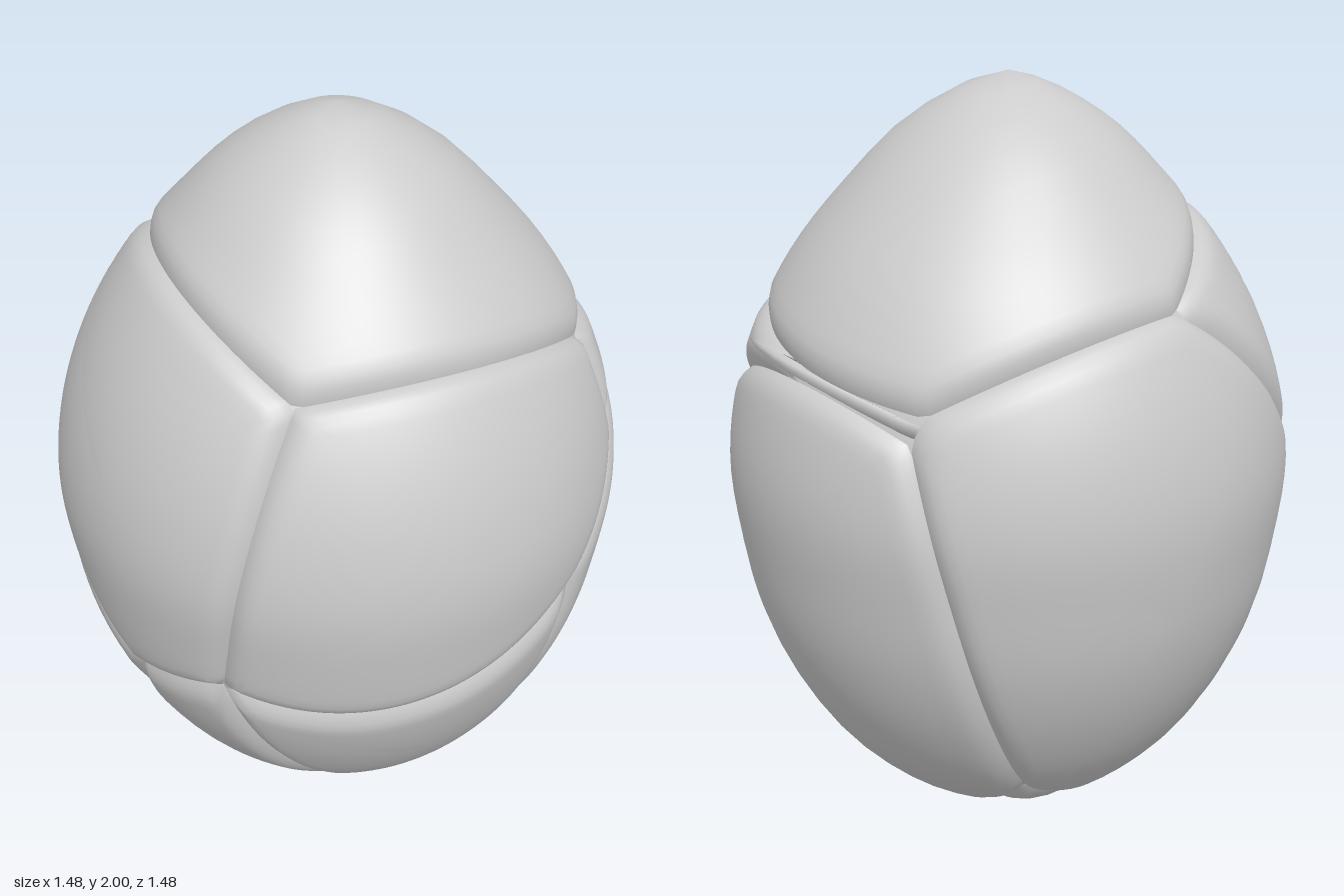
import * as THREE from 'three';

const V = (x, y, z) => new THREE.Vector3(x, y, z);
const CENTRE = V(0, 1, 0);
const GROOVE_DEPTH = 0.028, BEVEL = 0.06;

// Egg profile: distance from the centre at every 15 degrees, top to bottom
const profile = new THREE.SplineCurve(
  [1, 0.925, 0.835, 0.785, 0.755, 0.742, 0.742, 0.748, 0.785, 0.84, 0.91, 0.975, 1]
    .map((r, i) => new THREE.Vector2(i, r)));
const radius = (dir) => profile.getPoint(Math.acos(THREE.MathUtils.clamp(dir.y, -1, 1)) / Math.PI).y;
const onEgg = (dir, drop = 0) => dir.clone().multiplyScalar(radius(dir) - drop).add(CENTRE);
const direction = (p) => p.clone().sub(CENTRE).normalize();

// Corners where the grooves meet
const corners = {
  a: V(0.15, 1.51, 0.56), b: V(0, 0.68, 0.7), c: V(-0.31, 0.58, 0.6), d: V(0.3, 0.085, 0.06),
  g: V(-0.22, 0.15, -0.33), h: V(0.605, 1.42, -0.17), i: V(0.69, 1.14, -0.19), j: V(0.725, 0.86, 0.08),
  k: V(-0.115, 1.29, -0.66), l: V(-0.09, 1.225, -0.69), m: V(-0.56, 1.49, -0.19),
};
for (const key in corners) corners[key] = onEgg(direction(corners[key]));

// One point inside each panel
const panels = {
  topCap: V(0, 2, 0), frontRightPanel: V(-0.3, 1.15, 0.6), frontLeftPanel: V(0.5, 1.1, 0.45),
  backSliver: V(0.55, 1.31, -0.36), rightBackPanel: V(-0.6, 0.75, -0.3), leftBackPanel: V(0.45, 0.7, -0.5),
  bottomPanel: V(-0.1, 0.2, 0.35), lowerLeftPanel: V(0.42, 0.43, 0.36),
};

// Grooves: the two panels they part, the corners they join, and a third point of the cutting plane
const grooves = [
  ['topCap', 'frontRightPanel', 'a', 'm', V(-0.35, 1.66, 0.3)],
  ['topCap', 'frontLeftPanel', 'a', 'h', V(0.4, 1.55, 0.385)],
  ['topCap', 'backSliver', 'h', 'k', V(0.41, 1.38, -0.5)],
  ['topCap', 'rightBackPanel', 'm', 'k', V(-0.38, 1.43, -0.495)],
  ['frontRightPanel', 'frontLeftPanel', 'a', 'b', V(0.09, 1.15, 0.71)],
  ['frontRightPanel', 'rightBackPanel', 'm', 'c', V(-0.69, 1.1, 0.25)],
  ['frontRightPanel', 'bottomPanel', 'c', 'b', V(0, 0.75, 0)],
  ['frontLeftPanel', 'backSliver', 'h', 'i', V(0, 1.2, -0.1)],
  ['frontLeftPanel', 'leftBackPanel', 'i', 'j', V(0, 1, -0.05)],
  ['frontLeftPanel', 'lowerLeftPanel', 'b', 'j', V(0.33, 0.63, 0.6)],
  ['backSliver', 'leftBackPanel', 'i', 'l', V(0.45, 1.29, -0.5)],
  ['backSliver', 'rightBackPanel', 'k', 'l', CENTRE],
  ['rightBackPanel', 'leftBackPanel', 'l', 'g', V(-0.22, 0.65, -0.65)],
  ['rightBackPanel', 'bottomPanel', 'c', 'g', V(-0.33, 0.3, 0.43)],
  ['bottomPanel', 'lowerLeftPanel', 'b', 'd', V(0.08, 0.35, 0.565)],
  ['bottomPanel', 'leftBackPanel', 'd', 'g', CENTRE],
  ['lowerLeftPanel', 'leftBackPanel', 'j', 'd', V(0.615, 0.45, 0.12)],
].map(([one, two, p, q, third]) => ({
  between: [one, two],
  plane: new THREE.Plane().setFromCoplanarPoints(corners[p], corners[q], third),
}));

// A panel grows in rings from its inner point out to the grooves, with a rounded edge
function panelGeometry(name, segments = 128, rings = 14) {
  const c = direction(panels[name]);
  const u = V(1, 0.1, 0.2).cross(c).normalize();
  const v = c.clone().cross(u);
  const planes = grooves.filter((e) => e.between.includes(name)).map((e) => e.plane.clone());
  const inner = onEgg(c);
  planes.forEach((pl) => { if (pl.distanceToPoint(inner) < 0) pl.negate(); });
  const depthInside = (p) => Math.min(...planes.map((pl) => pl.distanceToPoint(p)));

  const positions = [...inner.toArray()], index = [];
  for (let s = 0; s < segments; s++) {
    const t = (s / segments) * Math.PI * 2;
    const side = u.clone().multiplyScalar(Math.cos(t)).addScaledVector(v, Math.sin(t));
    const at = (a) => c.clone().multiplyScalar(Math.cos(a)).addScaledVector(side, Math.sin(a));
    // Angle at which this spoke reaches a groove
    let hi = 0.02;
    while (hi < 2.2 && depthInside(onEgg(at(hi))) > 0) hi += 0.02;
    let lo = hi - 0.02;
    for (let n = 0; n < 12; n++) {
      const mid = (lo + hi) / 2;
      if (depthInside(onEgg(at(mid))) > 0) lo = mid; else hi = mid;
    }
    for (let r = 1; r <= rings; r++) {
      const dir = at(lo * (1 - (1 - r / rings) ** 1.7));
      const near = Math.max(0, 1 - Math.max(0, depthInside(onEgg(dir))) / BEVEL);
      positions.push(...onEgg(dir, GROOVE_DEPTH * near * near).toArray());
    }
    const here = 1 + s * rings, next = 1 + ((s + 1) % segments) * rings;
    index.push(0, here, next);
    for (let r = 0; r < rings - 1; r++) {
      index.push(here + r, here + r + 1, next + r + 1, here + r, next + r + 1, next + r);
    }
  }
  const geometry = new THREE.BufferGeometry();
  geometry.setAttribute('position', new THREE.Float32BufferAttribute(positions, 3));
  geometry.setIndex(index);
  geometry.computeVertexNormals();
  return geometry;
}

export function createModel() {
  const group = new THREE.Group();
  group.name = 'crackedEgg';
  const material = new THREE.MeshStandardMaterial({ color: 0xcccccc });
  const add = (name, geometry) => {
    const mesh = new THREE.Mesh(geometry, material);
    mesh.name = name;
    group.add(mesh);
  };

  // Shell panels
  for (const name in panels) add(name, panelGeometry(name));

  // Core just beneath the grooves
  const outline = [];
  for (let i = 0; i <= 40; i++) {
    const a = Math.PI * (1 - i / 40);
    const p = onEgg(V(Math.sin(a), Math.cos(a), 0), GROOVE_DEPTH + 0.006);
    outline.push(new THREE.Vector2(Math.max(0, p.x), p.y));
  }
  add('innerCore', new THREE.LatheGeometry(outline, 64));
  return group;
}
